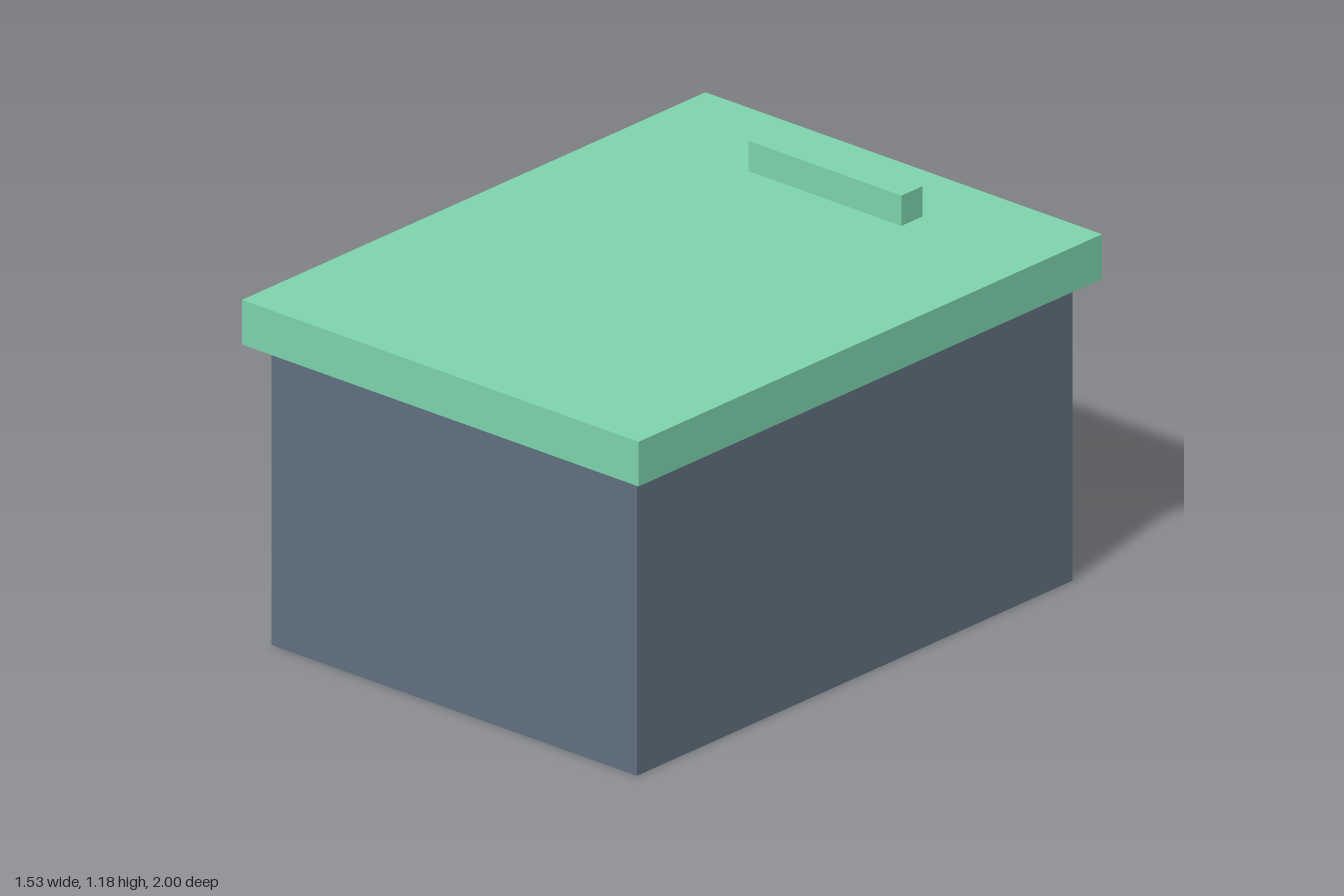
import * as THREE from 'three';

// Box given by its size, the height of its underside and its z centre
function addBox(group, name, color, [w, h, d], bottom, z = 0) {
  const mesh = new THREE.Mesh(
    new THREE.BoxGeometry(w, h, d),
    new THREE.MeshStandardMaterial({ color })
  );
  mesh.name = name;
  mesh.position.set(0, bottom + h / 2, z);
  group.add(mesh);
}

export function createModel() {
  const group = new THREE.Group();
  group.name = 'lidded box';
  const slate = 0x607080, green = 0x7dd3ac;

  addBox(group, 'body', slate, [1.41, 0.945, 1.88], 0);
  // Lid overhangs the body on all sides
  addBox(group, 'lid', green, [1.53, 0.14, 2], 0.945);
  // Handle bar near the back edge
  addBox(group, 'handle', green, [0.59, 0.095, 0.09], 1.085, -0.705);

  return group;
}
